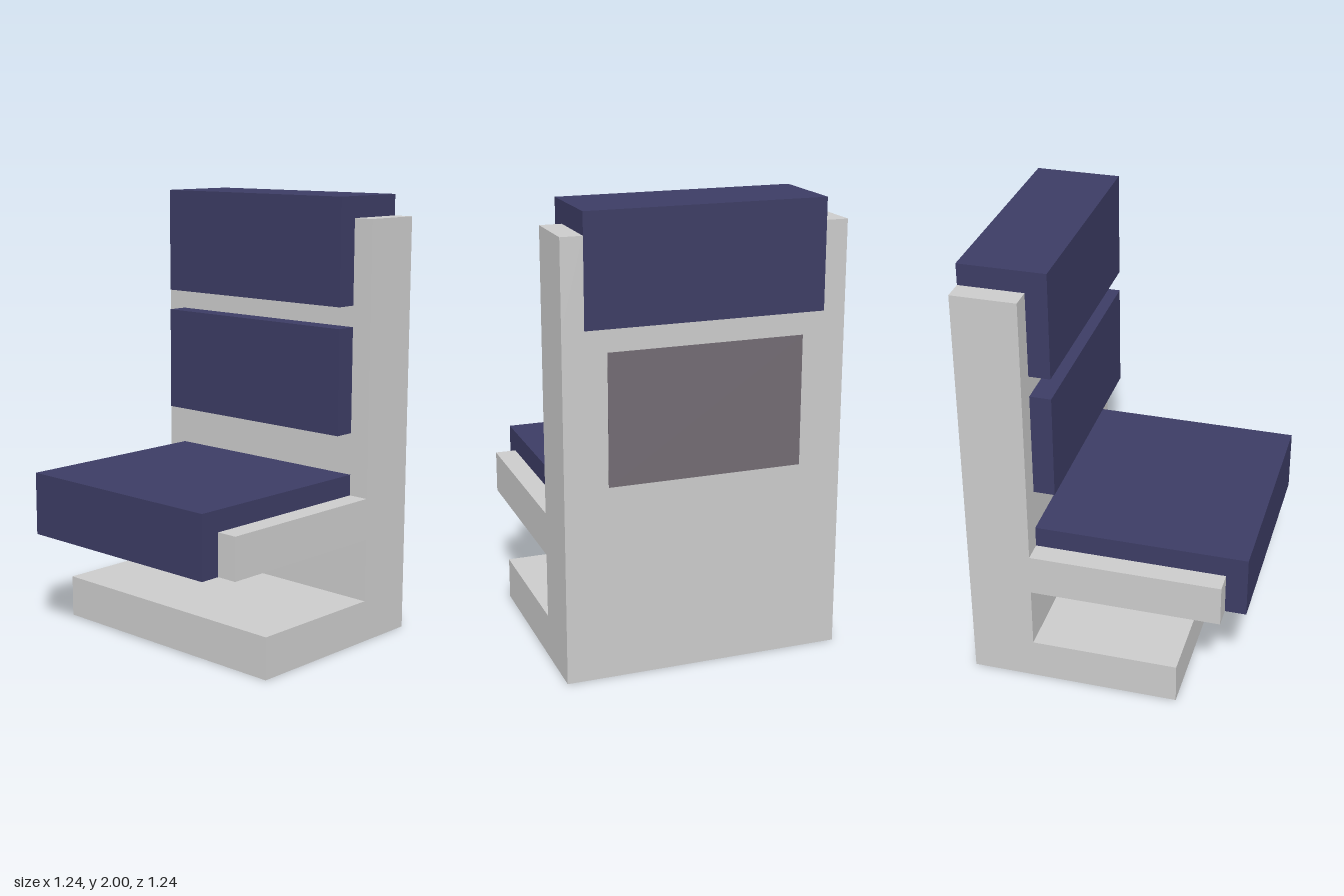
import * as THREE from 'three';

// One block of the modelling grid: the seat is 42 blocks tall
const U = 2 / 42;

const grey = new THREE.MeshStandardMaterial({ color: 0xcccccc });
const navy = new THREE.MeshStandardMaterial({ color: 0x3c3c64 });
const dark = new THREE.MeshStandardMaterial({ color: 0x726b73 });

// Box between two corners, given in grid blocks
function block(name, material, [x0, y0, z0], [x1, y1, z1]) {
  const geometry = new THREE.BoxGeometry((x1 - x0) * U, (y1 - y0) * U, (z1 - z0) * U);
  const mesh = new THREE.Mesh(geometry, material);
  mesh.position.set((x0 + x1) * U / 2, (y0 + y1) * U / 2, (z0 + z1) * U / 2);
  mesh.name = name;
  return mesh;
}

export function createModel() {
  const model = new THREE.Group();
  model.name = 'passengerSeat';

  // Shell: floor plinth and tall back
  model.add(block('plinth', grey, [-13, 0, -7], [13, 4, 7]));
  model.add(block('backShell', grey, [-13, 0, -13], [13, 32, -7]));

  // Side rails beside the seat, and cheeks beside the headrest
  for (const [side, x] of [['left', 11], ['right', -13]]) {
    model.add(block(side + 'SeatRail', grey, [x, 10, -7], [x + 2, 14, 11]));
    model.add(block(side + 'HeadCheek', grey, [x, 32, -13], [x + 2, 40, -7]));
  }

  // Cushions
  model.add(block('seatCushion', navy, [-11, 10, -7], [11, 16, 13]));
  model.add(block('backCushion', navy, [-11, 20, -7], [11, 30, -5]));
  model.add(block('headrest', navy, [-11, 32, -13], [11, 42, -5]));

  // Panel set into the rear of the shell
  model.add(block('rearPanel', dark, [-9, 18, -13.04], [9, 30, -12.9]));

  return model;
}
